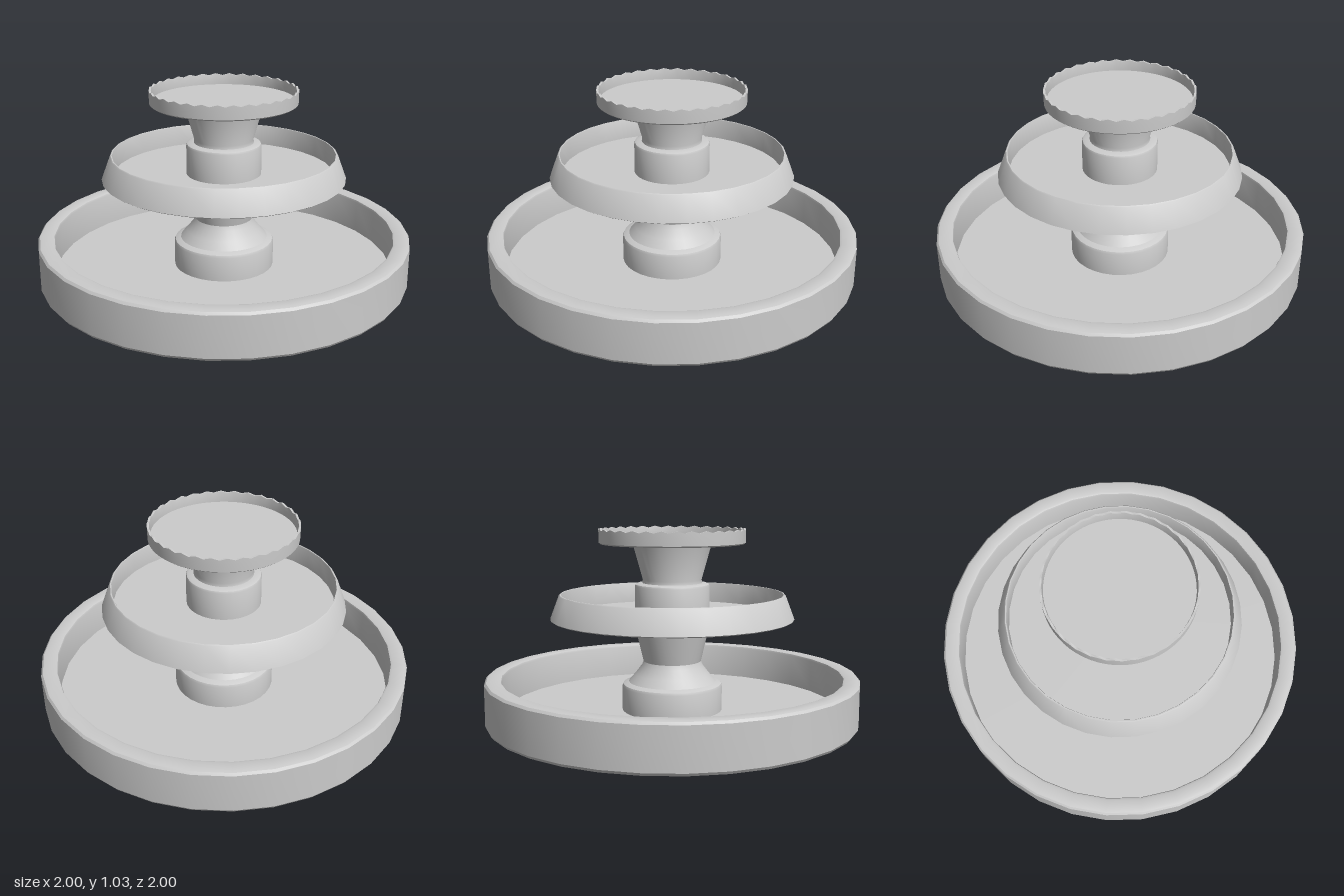
import * as THREE from 'three';
import { toCreasedNormals } from 'three/addons/utils/BufferGeometryUtils.js';

const material = new THREE.MeshStandardMaterial({ color: 0xcccccc });

// Turned part from [radius, height] pairs; reshape may move vertices before shading
function turned(name, profile, segments = 32, reshape) {
  const geo = new THREE.LatheGeometry(profile.map(([r, y]) => new THREE.Vector2(r, y)), segments);
  if (reshape) reshape(geo.attributes.position, profile.length);
  const mesh = new THREE.Mesh(toCreasedNormals(geo, Math.PI / 6), material);
  mesh.name = name;
  return mesh;
}

export function createModel() {
  const group = new THREE.Group();
  group.name = 'tieredFountain';

  // Wide lower basin with a thick, softly bevelled rim
  group.add(turned('lowerBasin', [
    [0, 0], [0.97, 0], [0.99, 0.005], [1, 0.02], [1, 0.235], [0.99, 0.247], [0.975, 0.25],
    [0.925, 0.25], [0.914, 0.246], [0.91, 0.235], [0.91, 0.055], [0, 0.055],
  ]));

  // Lower column: round plinth, waist and flared top
  group.add(turned('lowerColumn', [
    [0.27, 0.05], [0.27, 0.185], [0.265, 0.198], [0.25, 0.205], [0.235, 0.21],
    [0.2, 0.25], [0.165, 0.295], [0.155, 0.32], [0.207, 0.54], [0.21, 0.555],
  ]));

  // Middle basin: sloping outside, upright inside
  group.add(turned('middleBasin', [
    [0, 0.55], [0.64, 0.55], [0.65, 0.556], [0.603, 0.68], [0.598, 0.685],
    [0.592, 0.685], [0.59, 0.68], [0.59, 0.57], [0, 0.57],
  ]));

  // Upper column
  group.add(turned('upperColumn', [
    [0.2, 0.56], [0.2, 0.725], [0.196, 0.735], [0.185, 0.74], [0.16, 0.743],
    [0.157, 0.76], [0.207, 0.94], [0.21, 0.955],
  ]));

  // Top bowl: thin wall whose lip dips at every second vertex
  const bowl = [
    [0, 0.95], [0.38, 0.95], [0.389, 0.957], [0.39, 1.0], [0.39, 1.03],
    [0.379, 1.03], [0.375, 1.0], [0.375, 0.97], [0, 0.97],
  ];
  group.add(turned('topBowl', bowl, 64, (pos, rows) => {
    for (let i = 0; i < pos.count; i++) {
      const column = Math.floor(i / rows);
      if (pos.getY(i) > 1.02 && column % 2) pos.setY(i, 1.02);
    }
  }));

  return group;
}
